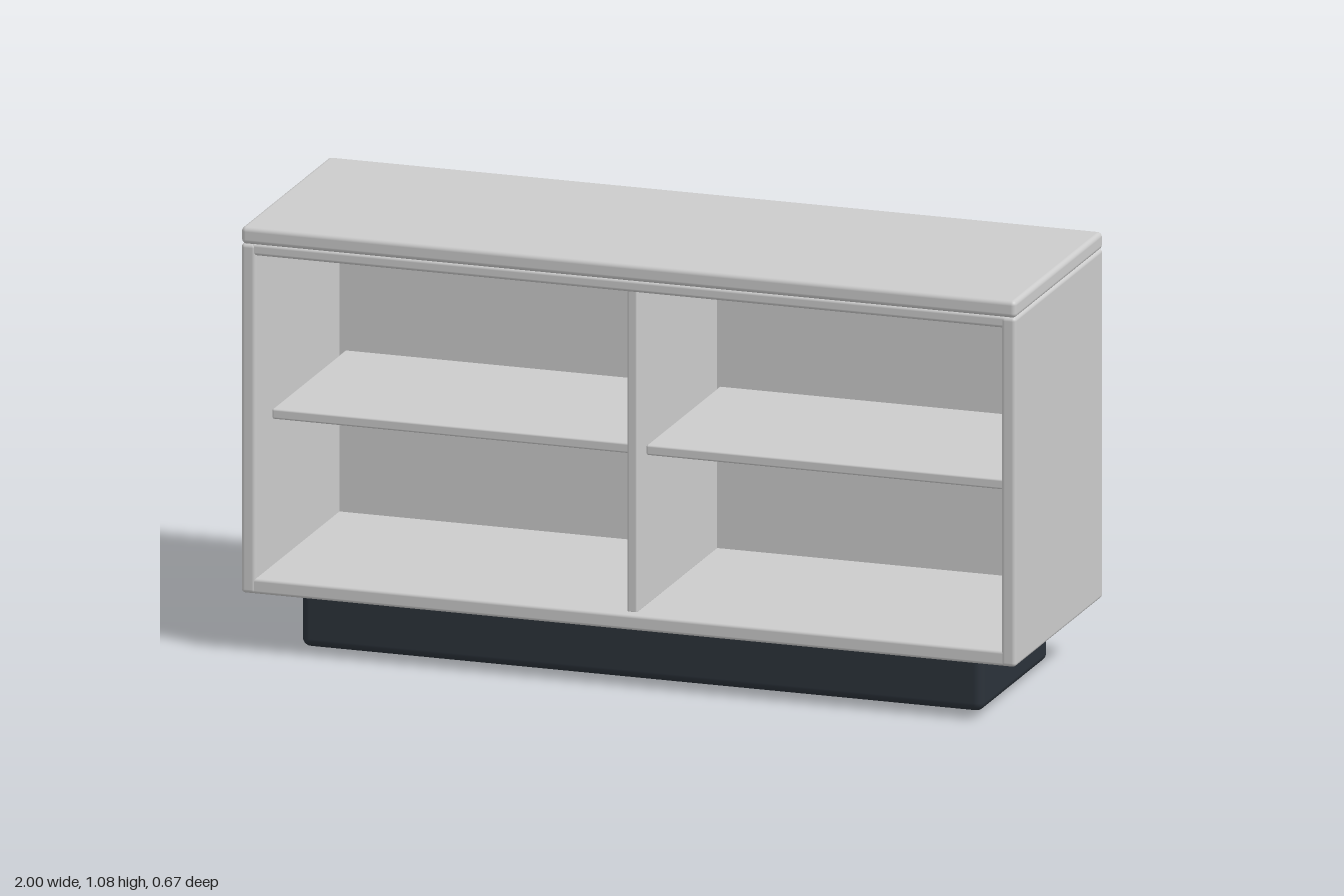
import * as THREE from 'three';
import { RoundedBoxGeometry } from 'three/addons/geometries/RoundedBoxGeometry.js';

const grey = new THREE.MeshStandardMaterial({ color: 0xcccccc });
const dark = new THREE.MeshStandardMaterial({ color: 0x2b323a });

// Rounded panel given by its extents along x, y and z
function panel(name, [x0, x1], [y0, y1], [z0, z1], radius, material = grey) {
  const geometry = new RoundedBoxGeometry(x1 - x0, y1 - y0, z1 - z0, 4, radius);
  const mesh = new THREE.Mesh(geometry, material);
  mesh.name = name;
  mesh.position.set((x0 + x1) / 2, (y0 + y1) / 2, (z0 + z1) / 2);
  return mesh;
}

export function createModel() {
  const cabinet = new THREE.Group();
  cabinet.name = 'cabinet';
  const depth = [-0.32, 0.333];

  // Recessed dark base
  cabinet.add(panel('plinth', [-0.88, 0.88], [0, 0.152], [-0.26, 0.235], 0.022, dark));

  // Outer carcass
  cabinet.add(panel('worktop', [-1, 1], [1.039, 1.083], depth, 0.012));
  cabinet.add(panel('topPanel', [-0.975, 0.975], [1.012, 1.042], [-0.318, 0.331], 0.008));
  cabinet.add(panel('bottomPanel', [-0.975, 0.975], [0.153, 0.192], [-0.318, 0.331], 0.008));
  cabinet.add(panel('backPanel', [-0.957, 0.957], [0.198, 1.006], [-0.312, -0.295], 0.004));
  // Strips closing the shadow gap around the back panel
  cabinet.add(panel('backLining', [-0.968, 0.968], [0.185, 1.02], [-0.302, -0.292], 0.002));

  // Inner divider
  cabinet.add(panel('divider', [-0.013, 0.013], [0.188, 1.015], [-0.296, 0.303], 0.005));

  // Mirrored sides and shelves
  for (const [side, s] of [['left', 1], ['right', -1]]) {
    const span = (a, b) => [Math.min(s * a, s * b), Math.max(s * a, s * b)];
    cabinet.add(panel(side + 'Side', span(0.962, 1), [0.153, 1.041], depth, 0.01));
    cabinet.add(panel(side + 'Shelf', span(0.021, 0.945), [0.58, 0.606], [-0.285, 0.26], 0.005));
  }

  // Small dark plate on the back
  cabinet.add(panel('backPlate', [-0.053, 0.053], [0.645, 0.702], [-0.333, -0.308], 0.003, dark));

  return cabinet;
}
